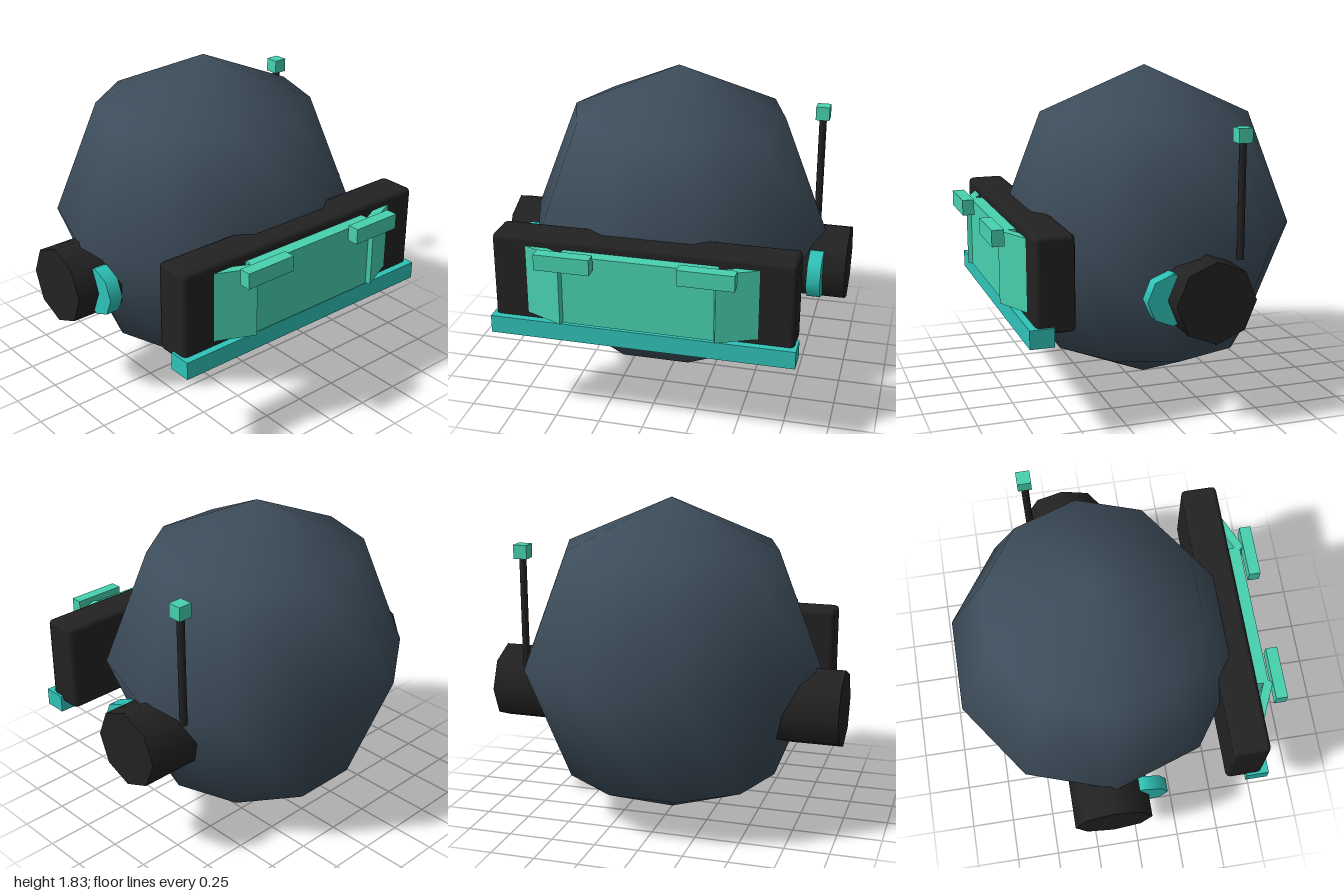
import * as THREE from 'three';
import { RoundedBoxGeometry } from 'three/addons/geometries/RoundedBoxGeometry.js';

const mat = (name, color) => new THREE.MeshStandardMaterial({ name, color });

export function createModel() {
  const slate = mat('slate', 0x3d4d5b);
  const black = mat('black', 0x222222);
  const teal = mat('teal', 0x2fc3b8);
  const mint = mat('mint', 0x48d1b0);

  const model = new THREE.Group();
  model.name = 'roundPod';

  const add = (name, geometry, material, x, y, z) => {
    const mesh = new THREE.Mesh(geometry, material);
    mesh.name = name;
    mesh.position.set(x, y, z);
    model.add(mesh);
    return mesh;
  };
  const box = (name, material, x, y, z, w, h, d) =>
    add(name, new THREE.BoxGeometry(w, h, d), material, x, y, z);
  // Eight-sided disc lying along z
  const disc = (name, material, r, depth, x, y, z) =>
    add(name, new THREE.CylinderGeometry(r, r, depth, 8).rotateX(Math.PI / 2), material, x, y, z);

  // Coarse ten-sided ball, turned so a corner points to the front
  const ball = new THREE.SphereGeometry(1, 10, 4).rotateY(Math.PI / 10).scale(0.836, 0.914, 0.862);
  add('body', ball, slate, -0.11, 0.916, 0);

  // Console housing with chamfered edges, and the bumper below it
  add('housing', new RoundedBoxGeometry(0.21, 0.51, 1.64, 1, 0.025), black, 0.645, 0.83, 0);
  box('bumper', teal, 0.725, 0.565, 0, 0.13, 0.1, 1.67);
  box('centrePanel', mint, 0.77, 0.84, 0, 0.1, 0.395, 0.84);

  const slant = Math.atan2(0.095, 0.21);
  for (const s of [1, -1]) {
    // Slanted panel: outer face runs from the housing out to the raised seam
    const panel = box('sidePanel', mint,
      0.7975 - 0.025 * Math.cos(slant), 0.84, s * (0.525 - 0.025 * Math.sin(slant)),
      0.05, 0.395, 0.23);
    panel.rotation.y = -s * slant;

    box('lamp', mint, 0.87, 1.023, s * 0.38, 0.066, 0.088, 0.3);
    disc('sideHub', black, 0.22, 0.5, -0.15, 0.71, s * 0.75);
    disc('hubDisc', teal, 0.14, 0.078, 0.04, 0.71, s * 0.835);
  }

  // Antenna
  add('antennaRod', new THREE.CylinderGeometry(0.021, 0.021, 0.64, 8), black, -0.37, 1.19, -0.785);
  box('antennaTip', mint, -0.37, 1.532, -0.785, 0.078, 0.078, 0.078);

  return model;
}
